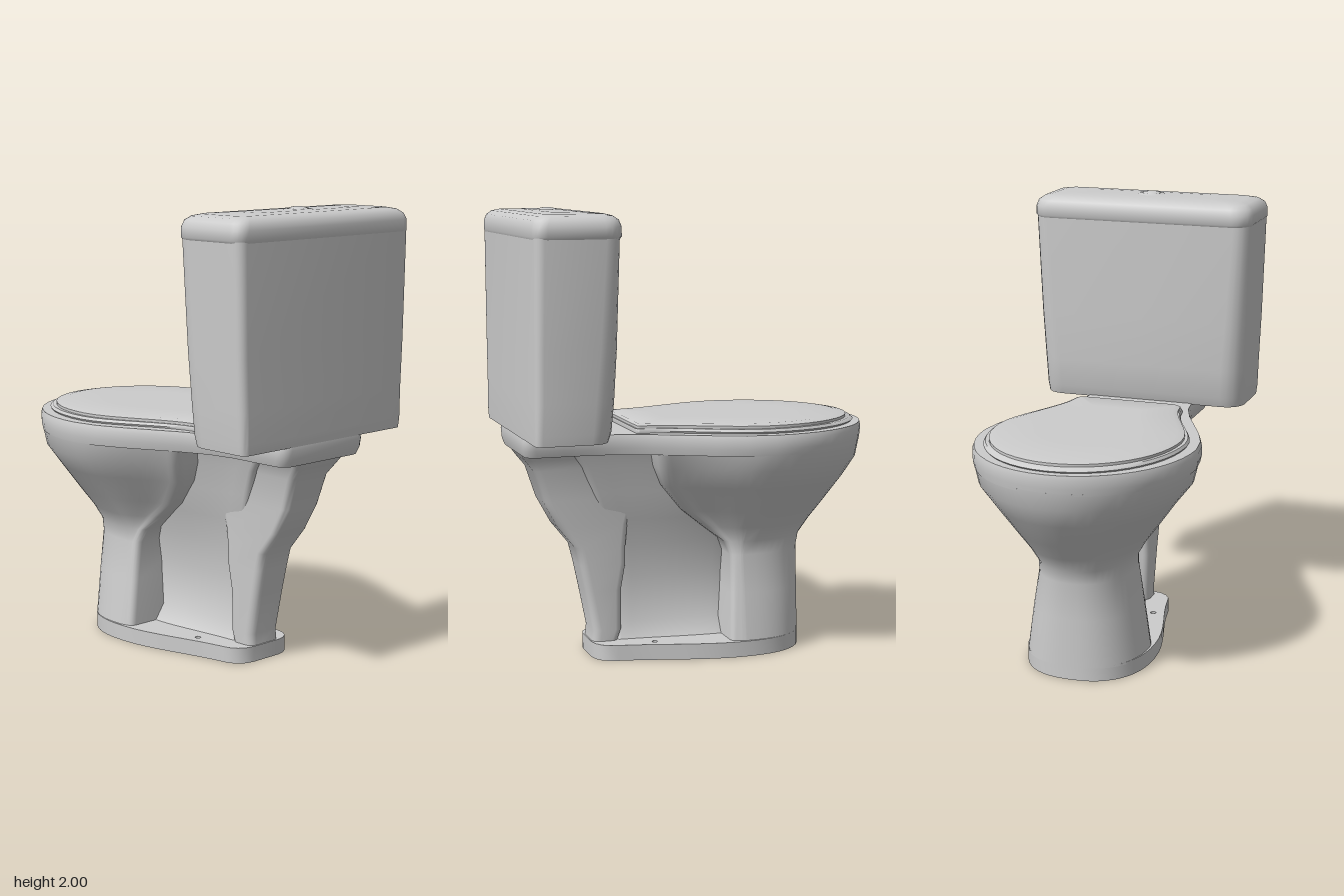
import * as THREE from 'three';
import { toCreasedNormals } from 'three/addons/utils/BufferGeometryUtils.js';

const ceramic = new THREE.MeshStandardMaterial({ color: 0xcccccc });
ceramic.name = 'ceramic';

// Egg-shaped outline: rounded nose at zf, widest (w) at zw, easing to wb, rounded corners at zb
function egg(zf, zw, zb, w, wb, power = 2, r = 0.05) {
  const half = [];
  for (let i = 0; i <= 12; i++) {
    const a = (i / 12) * Math.PI / 2;
    half.push([w * Math.sin(a) ** (2 / power), zw - (zw - zf) * Math.max(0, Math.cos(a)) ** (2 / power)]);
  }
  const end = zb - r, span = Math.min(0.75, zb - zw);
  const widthAt = z => w + (wb - w) * THREE.MathUtils.smoothstep(z, zw, zw + span);
  for (let i = 1; i <= 8; i++) {
    const z = zw + (end - zw) * i / 8;
    half.push([widthAt(z), z]);
  }
  const we = widthAt(end);
  for (let i = 1; i <= 4; i++) {
    const a = (i / 4) * Math.PI / 2;
    half.push([we - r * (1 - Math.cos(a)), end + r * Math.sin(a)]);
  }
  return [...half, ...half.slice(1).reverse().map(([x, z]) => [-x, z])];
}

// Rounded rectangle with separate front and back corner radii
function box(w, z0, z1, rf, rb) {
  const half = [[0, z0]];
  for (let i = 0; i <= 5; i++) {
    const a = (i / 5) * Math.PI / 2;
    half.push([w - rf + rf * Math.sin(a), z0 + rf - rf * Math.cos(a)]);
  }
  for (let i = 0; i <= 5; i++) {
    const a = (i / 5) * Math.PI / 2;
    half.push([w - rb + rb * Math.cos(a), z1 - rb + rb * Math.sin(a)]);
  }
  return [...half, ...half.slice(1).reverse().map(([x, z]) => [-x, z])];
}

// Skin a stack of [height, outline] sections and close both ends
function loft(name, sections, crease = 0.85) {
  const pos = [], idx = [], n = sections[0][1].length;
  for (const [y, ring] of sections) for (const [x, z] of ring) pos.push(x, y, z);
  for (let s = 0; s < sections.length - 1; s++) {
    for (let i = 0; i < n; i++) {
      const a = s * n + i, b = s * n + (i + 1) % n;
      idx.push(a, a + n, b, b, a + n, b + n);
    }
  }
  for (const s of [0, sections.length - 1]) {
    const [y, ring] = sections[s];
    const zs = ring.map(p => p[1]);
    const c = pos.length / 3;
    pos.push(0, y, (Math.min(...zs) + Math.max(...zs)) / 2);
    for (let i = 0; i < n; i++) {
      const a = s * n + i, b = s * n + (i + 1) % n;
      if (s) idx.push(c, b, a); else idx.push(c, a, b);
    }
  }
  const g = new THREE.BufferGeometry();
  g.setAttribute('position', new THREE.Float32BufferAttribute(pos, 3));
  g.setIndex(idx);
  return part(name, toCreasedNormals(g, crease));
}

function part(name, geometry) {
  const mesh = new THREE.Mesh(geometry, ceramic);
  mesh.name = name;
  return mesh;
}

export function createModel() {
  const model = new THREE.Group();
  model.name = 'toilet';

  // Foot plate with two bolt holes
  const foot = new THREE.Shape(egg(-0.515, -0.16, 0.47, 0.285, 0.17, 2.4, 0.1).map(([x, z]) => new THREE.Vector2(x, -z)));
  for (const s of [-1, 1]) {
    const hole = new THREE.Path();
    hole.absarc(s * 0.16, -0.2, 0.013, 0, Math.PI * 2);
    foot.holes.push(hole);
  }
  const footGeo = new THREE.ExtrudeGeometry(foot, { depth: 0.07, bevelEnabled: false, curveSegments: 10 });
  footGeo.rotateX(-Math.PI / 2);
  model.add(part('footPlate', toCreasedNormals(footGeo, 0.6)));

  // Front pedestal flaring into the bowl
  model.add(loft('bowl', [
    [0.06, egg(-0.515, -0.2, -0.13, 0.275, 0.26, 2.4, 0.03)],
    [0.28, egg(-0.515, -0.2, -0.14, 0.243, 0.23, 2.4, 0.03)],
    [0.45, egg(-0.517, -0.2, -0.145, 0.215, 0.205, 2.3, 0.03)],
    [0.51, egg(-0.53, -0.21, -0.12, 0.218, 0.19, 2.2, 0.03)],
    [0.58, egg(-0.58, -0.22, -0.03, 0.26, 0.18, 2.1)],
    [0.66, egg(-0.645, -0.24, 0.07, 0.32, 0.2)],
    [0.78, egg(-0.735, -0.25, 0.17, 0.405, 0.25)],
    [0.87, egg(-0.79, -0.25, 0.21, 0.475, 0.3)],
    [0.95, egg(-0.805, -0.25, 0.23, 0.493, 0.33)],
  ]));

  // Rim running back into the tank shelf
  model.add(loft('rim', [
    [0.94, egg(-0.803, -0.25, 0.795, 0.493, 0.24)],
    [0.97, egg(-0.808, -0.25, 0.805, 0.5, 0.25)],
    [1.01, egg(-0.812, -0.25, 0.808, 0.5, 0.255)],
    [1.03, egg(-0.808, -0.25, 0.805, 0.492, 0.25)],
  ]));

  // Rear column: [height, front z, back z, half width]
  const column = [
    [0.06, 0.35, 0.465, 0.09], [0.12, 0.33, 0.46, 0.09], [0.3, 0.33, 0.495, 0.093],
    [0.42, 0.31, 0.52, 0.096], [0.5, 0.31, 0.54, 0.098], [0.6, 0.3, 0.62, 0.1],
    [0.72, 0.27, 0.685, 0.105], [0.86, 0.22, 0.73, 0.115], [0.91, 0.2, 0.77, 0.13], [0.95, 0.2, 0.795, 0.15],
  ];
  model.add(loft('rearColumn', column.map(([y, z0, z1, w]) => [y, box(w, z0, z1, 0.03, 0.035)])));

  // Recessed web joining column and bowl, widening upwards
  const web = [
    [0.06, 0.36, 0.12], [0.14, 0.36, 0.06], [0.35, 0.36, 0.065], [0.5, 0.38, 0.085],
    [0.62, 0.42, 0.13], [0.75, 0.47, 0.17], [0.87, 0.52, 0.2], [0.95, 0.58, 0.23],
  ];
  model.add(loft('recessWeb', web.map(([y, z1, w]) => [y, egg(-0.3, -0.1, z1, w, w * 0.7, 2, 0.03)])));

  // Seat and its closed cover
  model.add(loft('seat', [
    [1.025, egg(-0.765, -0.25, 0.31, 0.44, 0.26, 2, 0.015)],
    [1.038, egg(-0.78, -0.25, 0.312, 0.448, 0.265, 2, 0.015)],
    [1.05, egg(-0.765, -0.25, 0.31, 0.44, 0.26, 2, 0.015)],
  ]));
  model.add(loft('seatCover', [
    [1.048, egg(-0.745, -0.25, 0.305, 0.425, 0.255, 2, 0.015)],
    [1.062, egg(-0.745, -0.25, 0.305, 0.425, 0.255, 2, 0.015)],
    [1.07, egg(-0.7, -0.25, 0.295, 0.39, 0.235, 2, 0.015)],
    [1.073, egg(-0.5, -0.25, 0.15, 0.23, 0.12, 2, 0.015)],
  ]));

  // Tank, tapering downwards with a curved lower front
  model.add(loft('tank', [
    [1.025, box(0.487, 0.48, 0.808, 0.09, 0.03)],
    [1.07, box(0.492, 0.464, 0.81, 0.1, 0.03)],
    [1.2, box(0.497, 0.453, 0.81, 0.1, 0.035)],
    [1.42, box(0.506, 0.445, 0.81, 0.09, 0.035)],
    [1.89, box(0.52, 0.438, 0.81, 0.07, 0.04)],
  ]));

  // Tank lid with rounded shoulders
  model.add(loft('tankLid', [
    [1.88, box(0.52, 0.434, 0.81, 0.08, 0.05)],
    [1.89, box(0.527, 0.428, 0.814, 0.085, 0.055)],
    [1.93, box(0.526, 0.428, 0.814, 0.085, 0.055)],
    [1.958, box(0.515, 0.438, 0.805, 0.08, 0.055)],
    [1.975, box(0.49, 0.46, 0.785, 0.07, 0.05)],
    [1.983, box(0.45, 0.49, 0.755, 0.06, 0.045)],
    [1.987, box(0.3, 0.56, 0.69, 0.04, 0.04)],
  ]));

  // Flush button with collar
  const collar = part('buttonCollar', new THREE.CylinderGeometry(0.05, 0.08, 0.008, 20));
  collar.position.set(0, 1.987, 0.635);
  const button = part('flushButton', new THREE.SphereGeometry(0.045, 20, 8, 0, Math.PI * 2, 0, Math.PI / 2));
  button.scale.y = 0.3;
  button.position.set(0, 1.9865, 0.635);
  model.add(collar, button);

  return model;
}
